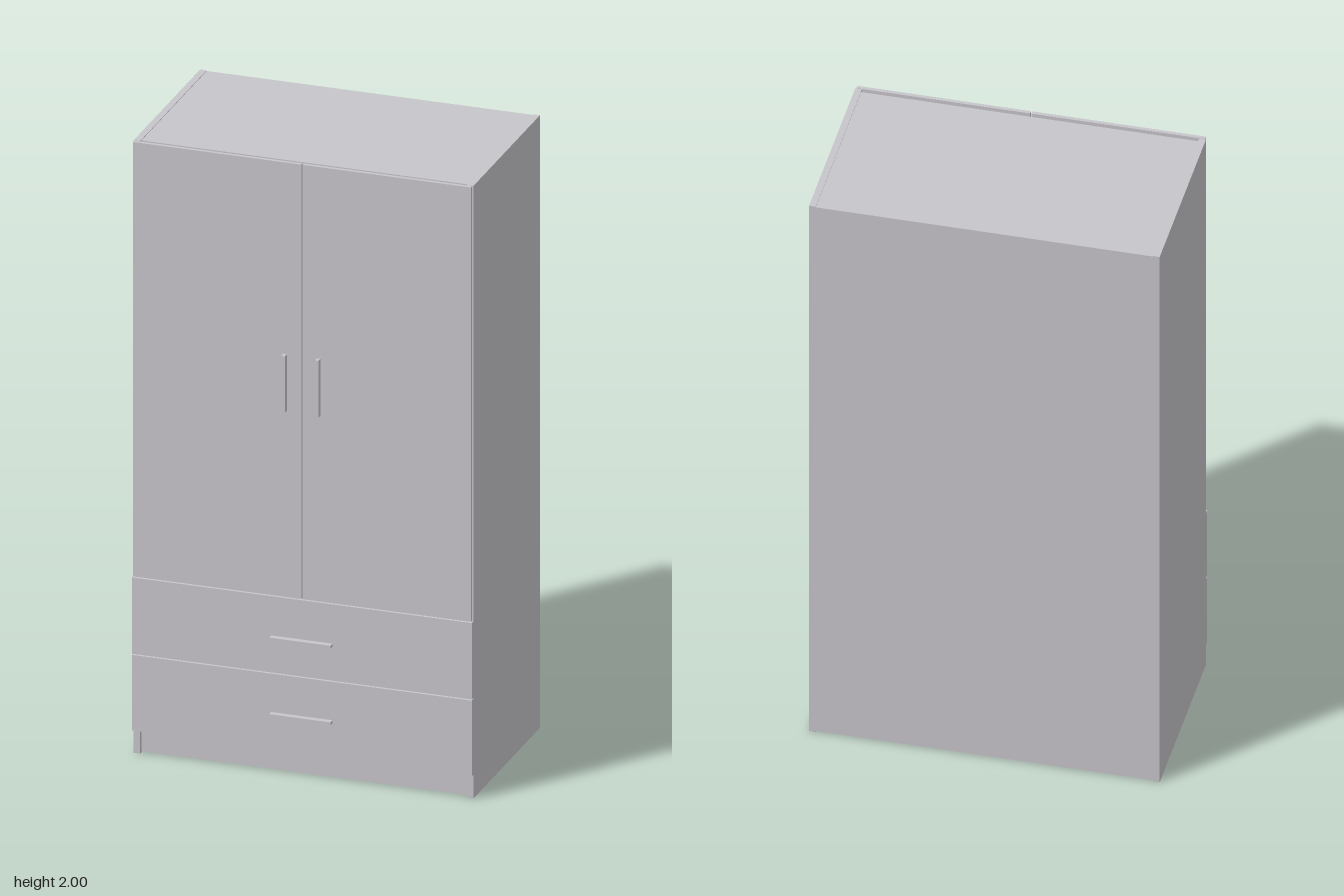
import * as THREE from 'three';

export function createModel() {
  const model = new THREE.Group();
  model.name = 'wardrobe';
  const grey = new THREE.MeshStandardMaterial({ color: 0xc7c5ca });
  grey.name = 'warm grey';

  // Box given by its minimum and maximum on each axis
  const box = (name, [x0, x1], [y0, y1], [z0, z1]) => {
    const mesh = new THREE.Mesh(new THREE.BoxGeometry(x1 - x0, y1 - y0, z1 - z0), grey);
    mesh.position.set((x0 + x1) / 2, (y0 + y1) / 2, (z0 + z1) / 2);
    mesh.name = name;
    model.add(mesh);
  };

  const back = -0.317, front = 0.283, face = 0.297, grip = 0.316;
  const half = 0.545, inner = 0.524;

  // Carcass: the core is set back slightly behind the side panels
  box('carcass', [-inner, inner], [0.004, 1.998], [back, 0.272]);

  for (const [side, s] of [['left', 1], ['right', -1]]) {
    const span = (a, b) => [Math.min(s * a, s * b), Math.max(s * a, s * b)];
    box(side + 'SidePanel', span(inner, half), [0, 2], [back, front]);
    box(side + 'Door', span(0.002, 0.542), [0.582, 2], [front + 0.002, face]);
    box(side + 'DoorHandle', span(0.048, 0.06), [1.19, 1.375], [face, grip]);
  }

  // Two full-width drawers with horizontal handles
  [['lower', 0.078, 0.325, 0.195], ['upper', 0.329, 0.578, 0.445]].forEach(([name, y0, y1, h]) => {
    box(name + 'Drawer', [-half, half], [y0, y1], [front, face]);
    box(name + 'DrawerHandle', [-0.098, 0.098], [h - 0.005, h + 0.005], [face, grip]);
  });

  return model;
}
